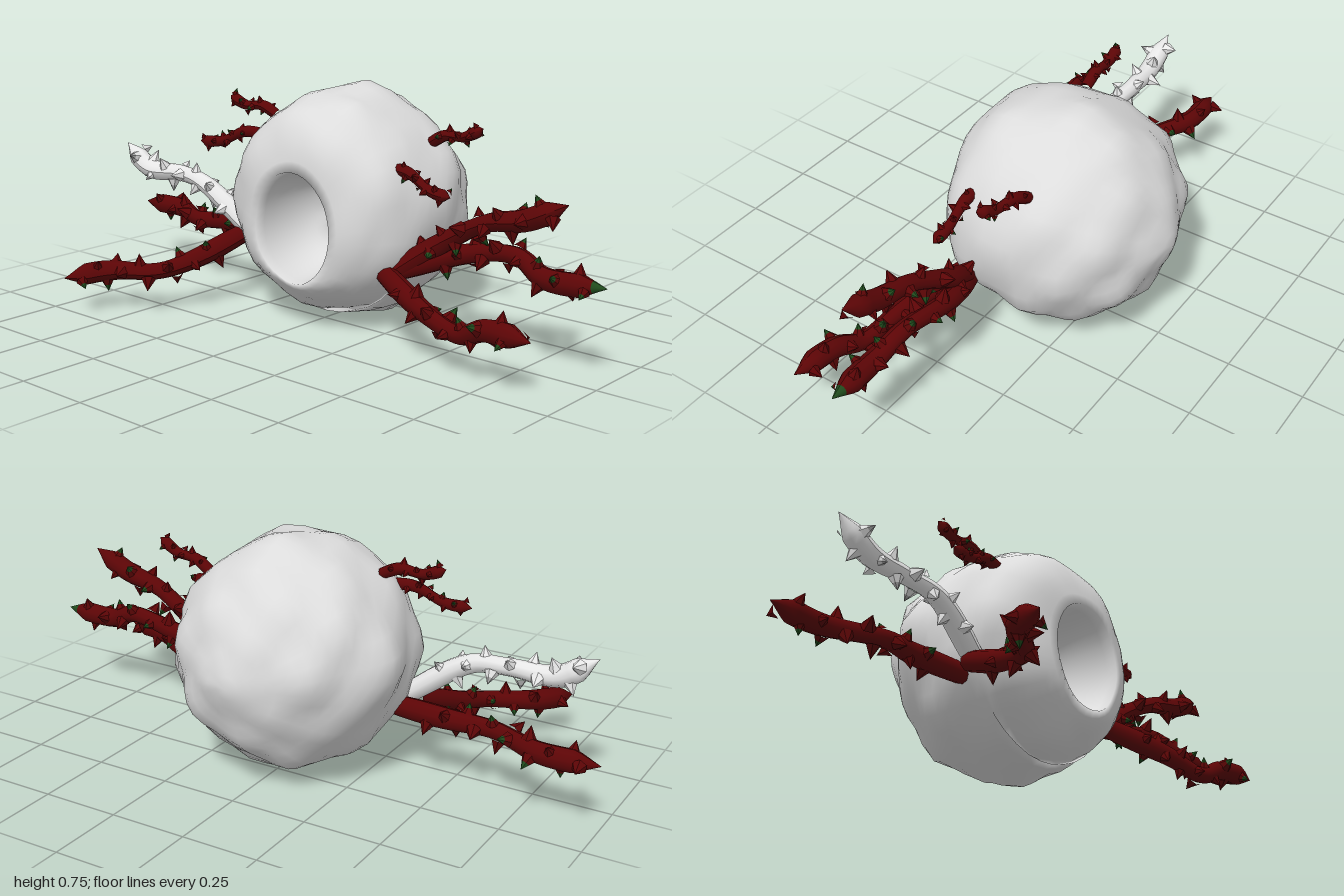
import * as THREE from 'three';
import { mergeGeometries, mergeVertices } from 'three/addons/utils/BufferGeometryUtils.js';

const mat = (name, color) => {
  const m = new THREE.MeshStandardMaterial({ color });
  m.name = name;
  return m;
};
const clamp = THREE.MathUtils.clamp;

// Small repeatable hash in 0..1
const hash = (n) => {
  const s = Math.sin(n * 127.1 + 3.7) * 43758.5453;
  return s - Math.floor(s);
};

// Bump directions: evenly spread lumps plus a few strong peaks
function makeBumps() {
  const bumps = [];
  const n = 46;
  for (let i = 0; i < n; i++) {
    const y = 1 - (2 * (i + 0.5)) / n;
    const r = Math.sqrt(1 - y * y);
    const a = i * 2.39996;
    bumps.push({ d: new THREE.Vector3(r * Math.cos(a), y, r * Math.sin(a)), h: 0.012 + 0.024 * hash(i), w: 0.36 });
  }
  const peaks = [[0, 1, -0.1, 0.04], [-1, 0.1, -0.15, 0.06], [0.3, -1, -0.05, 0.035], [0, 0, -1, 0.03], [0.95, 0.1, 0.1, 0.025]];
  for (const [x, y, z, h] of peaks) bumps.push({ d: new THREE.Vector3(x, y, z).normalize(), h, w: 0.45 });
  return bumps;
}

// Body outline: round back, squarer front, then the inside of the hollow
function bodyProfile() {
  const points = [];
  const add = (r, z) => points.push(new THREE.Vector2(Math.max(0, r), z));
  for (let i = 0; i < 16; i++) {
    const a = (i / 16) * Math.PI / 2;
    add(0.35 * Math.sin(a), -0.15 - 0.345 * Math.cos(a));
  }
  for (let i = 0; i <= 14; i++) {
    const a = (i / 14) * 1.25;
    add(0.35 * Math.cos(a) ** 0.64, -0.15 + 0.325 * Math.sin(a) ** 0.64);
  }
  for (let i = 1; i <= 10; i++) {
    const a = (i / 10) * Math.PI / 2;
    add(i < 10 ? 0.165 * Math.cos(a) ** 0.6 : 0, 0.165 - 0.23 * Math.sin(a));
  }
  return points;
}

// Lumpy round body with a deep oval hollow in the front
function bodyGeometry() {
  let geo = new THREE.LatheGeometry(bodyProfile(), 36);
  geo.rotateX(Math.PI / 2);
  geo.deleteAttribute('normal');
  geo.deleteAttribute('uv');
  geo = mergeVertices(geo, 1e-4);
  const bumps = makeBumps();
  const pos = geo.attributes.position;
  const v = new THREE.Vector3();
  const d = new THREE.Vector3();
  const centre = new THREE.Vector3(0, 0, -0.17);
  for (let i = 0; i < pos.count; i++) {
    v.fromBufferAttribute(pos, i);
    const r = Math.hypot(v.x, v.y);
    const hollow = v.z > -0.1 ? clamp((0.32 - r) / 0.155, 0, 1) : 0;
    d.copy(v).sub(centre).normalize();
    let h = 0;
    for (const b of bumps) h = Math.max(h, b.h * (1 - d.distanceTo(b.d) / b.w));
    v.addScaledVector(d, h * (1 - 0.75 * hollow));
    // Lower front slopes back
    if (v.z > 0) v.z -= 0.35 * Math.max(0, -v.y - 0.17);
    v.x = v.x * (1 - 0.1 * hollow) + 0.01 * hollow;
    v.y = v.y * (1 + 0.04 * hollow) - 0.04 * hollow + 0.37;
    pos.setXYZ(i, v.x, v.y, v.z);
  }
  geo.computeVertexNormals();
  return geo;
}

// Tapered tube whose radius swells slightly before a pointed tip
function armGeometry(curve, radius, tipSegments) {
  const n = 36, sides = 10;
  const geo = new THREE.TubeGeometry(curve, n, radius, sides, false);
  const pos = geo.attributes.position;
  const v = new THREE.Vector3();
  for (let i = 0; i <= n; i++) {
    const u = i / n;
    const c = curve.getPointAt(u);
    const k = u > 0.89 ? Math.max(0.01, (1 - u) / 0.11) * 1.1 : 0.94 + 0.12 * Math.sin(u * 9);
    for (let j = 0; j <= sides; j++) {
      const q = i * (sides + 1) + j;
      v.fromBufferAttribute(pos, q).sub(c).multiplyScalar(k).add(c);
      pos.setXYZ(q, v.x, v.y, v.z);
    }
  }
  geo.computeVertexNormals();
  const split = (n - tipSegments) * sides * 6;
  geo.addGroup(0, split, 0);
  geo.addGroup(split, tipSegments * sides * 6, 1);
  return geo;
}

// Thorns spiralling along an arm: wide bases and separately coloured points
function thornGeometries(curve, radius, seed) {
  const bases = [], points = [];
  const count = Math.round(curve.getLength() / (radius * 1.15));
  const up = new THREE.Vector3(0, 1, 0);
  for (let i = 0; i < count; i++) {
    const u = 0.2 + (0.72 * i) / (count - 1);
    const t = curve.getTangentAt(u);
    const dir = up.clone().cross(t).normalize().applyAxisAngle(t, i * 2.4 + seed);
    const size = radius * (0.9 + 0.4 * hash(i + seed * 13));
    const turn = new THREE.Quaternion().setFromUnitVectors(up, dir);
    const root = curve.getPointAt(u).addScaledVector(dir, radius * 0.75);
    const place = (list, top, bottom, from, to) => {
      const geo = new THREE.CylinderGeometry(top * size, bottom * size, (to - from) * size, 6, 1, true).toNonIndexed();
      geo.computeVertexNormals();
      geo.translate(0, ((from + to) / 2) * size, 0);
      geo.applyQuaternion(turn);
      geo.translate(root.x, root.y, root.z);
      list.push(geo);
    };
    // Every third thorn carries a coloured point
    const tipped = i % 3 === 1;
    place(bases, tipped ? 0.3 : 0, 0.6, 0, tipped ? 0.55 : 1.1);
    if (tipped) place(points, 0, 0.3, 0.55, 1.1);
  }
  return [mergeGeometries(bases), mergeGeometries(points)];
}

// One thorny arm along a smooth path
function makeArm(name, radius, points, seed, [stemMat, thornMat, accentMat], tipSegments = 0) {
  const curve = new THREE.CatmullRomCurve3(points);
  const arm = new THREE.Group();
  arm.name = name;
  const add = (part, geo, material) => {
    const mesh = new THREE.Mesh(geo, material);
    mesh.name = part;
    arm.add(mesh);
  };
  const [thorns, accents] = thornGeometries(curve, radius, seed);
  add('stem', armGeometry(curve, radius, tipSegments), [stemMat, accentMat]);
  add('thorns', thorns, thornMat);
  add('thornPoints', accents, accentMat);
  return arm;
}

export function createModel() {
  const group = new THREE.Group();
  const white = mat('white', 0xededed);
  const red = mat('dark red', 0x5c0506);
  const redSet = [red, red, mat('dark green', 0x1f4a1c)];
  const paleSet = [white, white, mat('grey', 0xa8a8a8)];
  const vec = (p) => new THREE.Vector3(...p);

  const body = new THREE.Mesh(bodyGeometry(), mat('pale grey shell', 0xdcdcdc));
  body.name = 'body';
  group.add(body);

  // Long arms follow a few path points
  const arms = {
    leftUpperArm: [[0.28, 0.2, 0.02], [0.45, 0.325, -0.03], [0.62, 0.415, -0.01], [0.75, 0.445, 0], [0.89, 0.51, 0]],
    leftMiddleArm: [[0.28, 0.21, 0.02], [0.5, 0.29, -0.06], [0.7, 0.32, -0.05], [0.8, 0.28, -0.03], [1, 0.285, -0.035]],
    leftLowerArm: [[0.28, 0.21, 0.04], [0.5, 0.155, 0.13], [0.65, 0.125, 0.16], [0.75, 0.165, 0.18], [0.91, 0.17, 0.2]],
    rightBackArm: [[-0.3, 0.22, -0.06], [-0.5, 0.225, -0.085], [-0.64, 0.215, -0.065], [-0.82, 0.215, -0.14], [-1, 0.215, -0.135]],
    rightFrontArm: [[-0.35, 0.23, 0], [-0.41, 0.16, 0.19], [-0.46, 0.135, 0.3], [-0.6, 0.13, 0.39], [-0.67, 0.117, 0.52]],
    rightPaleArm: [[-0.31, 0.23, 0], [-0.52, 0.37, 0.02], [-0.65, 0.39, 0.01], [-0.8, 0.39, 0.02], [-0.92, 0.467, 0.02]],
  };
  Object.entries(arms).forEach(([name, path], i) => {
    const palette = name === 'rightPaleArm' ? paleSet : redSet;
    group.add(makeArm(name, 0.033, path.map(vec), i + 1, palette, name === 'leftMiddleArm' ? 2 : 0));
  });

  // Short feelers wave gently between a root and a tip
  const feelers = {
    leftUpperFeeler: [[0.27, 0.58, -0.19], [0.49, 0.655, -0.16]],
    leftLowerFeeler: [[0.27, 0.53, 0], [0.49, 0.47, 0]],
    rightUpperFeeler: [[-0.25, 0.63, -0.05], [-0.46, 0.675, -0.045]],
    rightLowerFeeler: [[-0.25, 0.58, 0.02], [-0.5, 0.53, 0.06]],
  };
  Object.entries(feelers).forEach(([name, [root, tip]], i) => {
    const points = [0, 0.3, 0.65, 1].map((t) => {
      const p = vec(root).lerp(vec(tip), t);
      p.y += 0.012 * Math.sin(t * Math.PI * 2);
      return p;
    });
    group.add(makeArm(name, 0.018, points, i + 7, redSet));
  });
  return group;
}
